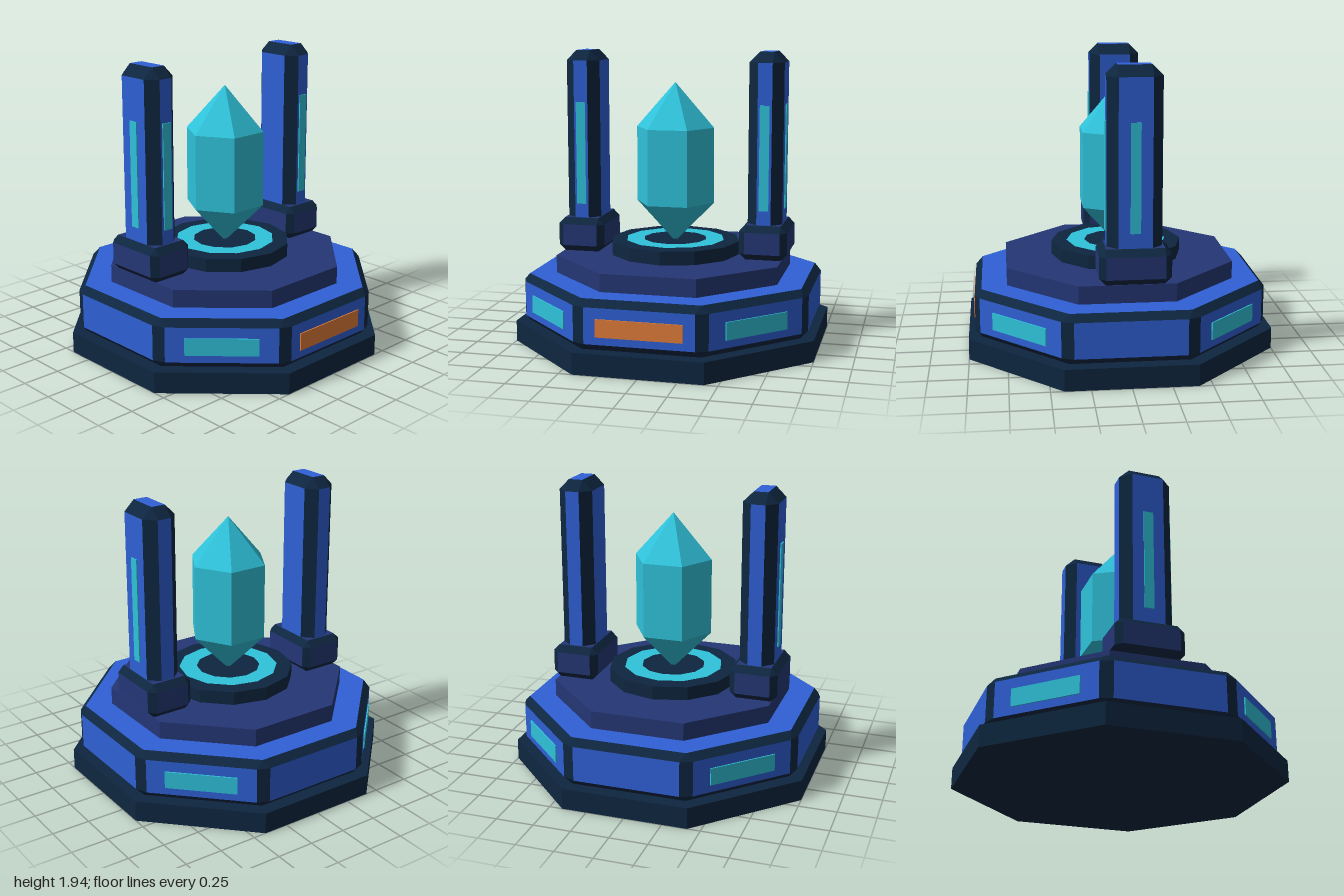
import * as THREE from 'three';

const mat = (name, color) => {
  const m = new THREE.MeshStandardMaterial({ color });
  m.name = name;
  return m;
};

// Give every facet its own normal
const facet = (geo) => {
  const g = geo.index ? geo.toNonIndexed() : geo;
  g.computeVertexNormals();
  return g;
};

const add = (parent, name, geo, material, x = 0, y = 0, z = 0) => {
  const mesh = new THREE.Mesh(geo, material);
  mesh.name = name;
  mesh.position.set(x, y, z);
  parent.add(mesh);
  return mesh;
};

// Geometry from convex polygons, each turned to face away from the centre
function shell(polygons, centre) {
  const out = [];
  for (const p of polygons) {
    const n = p[1].clone().sub(p[0]).cross(p[2].clone().sub(p[0]));
    const q = n.dot(p[0].clone().sub(centre)) < 0 ? [...p].reverse() : p;
    for (let i = 1; i < q.length - 1; i++) {
      for (const v of [q[0], q[i], q[i + 1]]) out.push(v.x, v.y, v.z);
    }
  }
  const g = new THREE.BufferGeometry();
  g.setAttribute('position', new THREE.Float32BufferAttribute(out, 3));
  g.computeVertexNormals();
  return g;
}

// Prism with all edges bevelled: panels in one colour, bevels in another
function bevelledPrism(name, outline, y0, y1, b, panelMat, trimMat) {
  const n = outline.length;
  const at = (p, y) => new THREE.Vector3(p.x, y, p.y);
  const dir = outline.map((p, i) => outline[(i + 1) % n].clone().sub(p).normalize());
  const corners = outline.map((p, i) => {
    const before = dir[(i + n - 1) % n], after = dir[i];
    const inset = b / Math.abs(before.cross(after));
    return {
      inner: p.clone().addScaledVector(after, inset).addScaledVector(before, -inset),
      a: p.clone().addScaledVector(before, -b),
      c: p.clone().addScaledVector(after, b),
    };
  });
  const panels = [y0, y1].map((y) => corners.map((k) => at(k.inner, y)));
  const trim = [];
  corners.forEach((k, i) => {
    const next = corners[(i + 1) % n];
    const lo = y0 + b, hi = y1 - b;
    panels.push([at(k.c, lo), at(next.a, lo), at(next.a, hi), at(k.c, hi)]);
    trim.push([at(k.a, lo), at(k.c, lo), at(k.c, hi), at(k.a, hi)]);
    for (const [end, side] of [[y0, lo], [y1, hi]]) {
      trim.push([at(k.inner, end), at(next.inner, end), at(next.a, side), at(k.c, side)]);
      trim.push([at(k.inner, end), at(k.a, side), at(k.c, side)]);
    }
  });
  const centre = new THREE.Vector3(0, (y0 + y1) / 2, 0);
  const group = new THREE.Group();
  group.name = name;
  add(group, name + 'Panels', shell(panels, centre), panelMat);
  add(group, name + 'Bevels', shell(trim, centre), trimMat);
  return group;
}

const rectangle = (w, d) =>
  [[1, 1], [-1, 1], [-1, -1], [1, -1]].map(([x, z]) => new THREE.Vector2(x * w / 2, z * d / 2));

const octagon = (apothem) => Array.from({ length: 8 }, (_, i) => {
  const t = (i + 0.5) * Math.PI / 4, r = apothem / Math.cos(Math.PI / 8);
  return new THREE.Vector2(r * Math.cos(t), r * Math.sin(t));
});

const octagonTier = (apothem, h) => {
  const r = apothem / Math.cos(Math.PI / 8);
  return facet(new THREE.CylinderGeometry(r, r, h, 8).rotateY(Math.PI / 8));
};

export function createModel() {
  const navy = mat('dark navy', 0x0e2640);
  const blue = mat('blue', 0x2f60d6);
  const indigo = mat('indigo', 0x243675);
  const cyan = mat('cyan', 0x2fc2da);
  const orange = mat('orange', 0xe07c3a);
  const model = new THREE.Group();
  model.name = 'crystalShrine';

  // Stepped base
  add(model, 'plinth', octagonTier(1, 0.14), navy, 0, 0.07);
  model.add(bevelledPrism('baseBlock', octagon(0.955), 0.14, 0.463, 0.045, blue, navy));
  add(model, 'upperStep', octagonTier(0.745, 0.12), indigo, 0, 0.52);

  // Light plates on the diagonal sides, and one orange plate on the +x side
  const basePlate = (name, angle, width, material) => {
    const r = 0.959;
    const plate = add(model, name, new THREE.BoxGeometry(width, 0.114, 0.009), material,
      r * Math.sin(angle), 0.292, r * Math.cos(angle));
    plate.rotation.y = angle;
  };
  for (let i = 0; i < 4; i++) basePlate('sideLight', (i + 0.5) * Math.PI / 2, 0.46, cyan);
  basePlate('orangePlate', Math.PI / 2, 0.55, orange);

  // Pedestal with a glowing ring
  add(model, 'pedestal', facet(new THREE.CylinderGeometry(0.438, 0.438, 0.09, 12)), navy, 0, 0.625);
  add(model, 'glowRing', new THREE.RingGeometry(0.215, 0.335, 12).rotateX(-Math.PI / 2), cyan, 0, 0.674);

  // Six-sided crystal
  const profile = [[0, 0.65], [0.265, 0.925], [0.265, 1.43], [0, 1.73]].map(([x, y]) => new THREE.Vector2(x, y));
  add(model, 'crystal', facet(new THREE.LatheGeometry(profile, 6)), cyan);

  // Front and back pillars, each with a foot and two light strips
  for (const side of [1, -1]) {
    const pillar = new THREE.Group();
    pillar.name = side > 0 ? 'frontPillar' : 'backPillar';
    pillar.position.set(-0.048, 0, side * 0.622);
    pillar.add(bevelledPrism('foot', rectangle(0.456, 0.32), 0.58, 0.81, 0.043, indigo, navy));
    pillar.add(bevelledPrism('shaft', rectangle(0.348, 0.23), 0.65, 1.937, 0.068, blue, navy));
    add(pillar, 'outerStrip', new THREE.BoxGeometry(0.064, 0.69, 0.009), cyan, 0, 1.25, side * 0.118);
    add(pillar, 'sideStrip', new THREE.BoxGeometry(0.009, 0.69, 0.064), cyan, 0.177, 1.25, 0);
    model.add(pillar);
  }
  return model;
}
